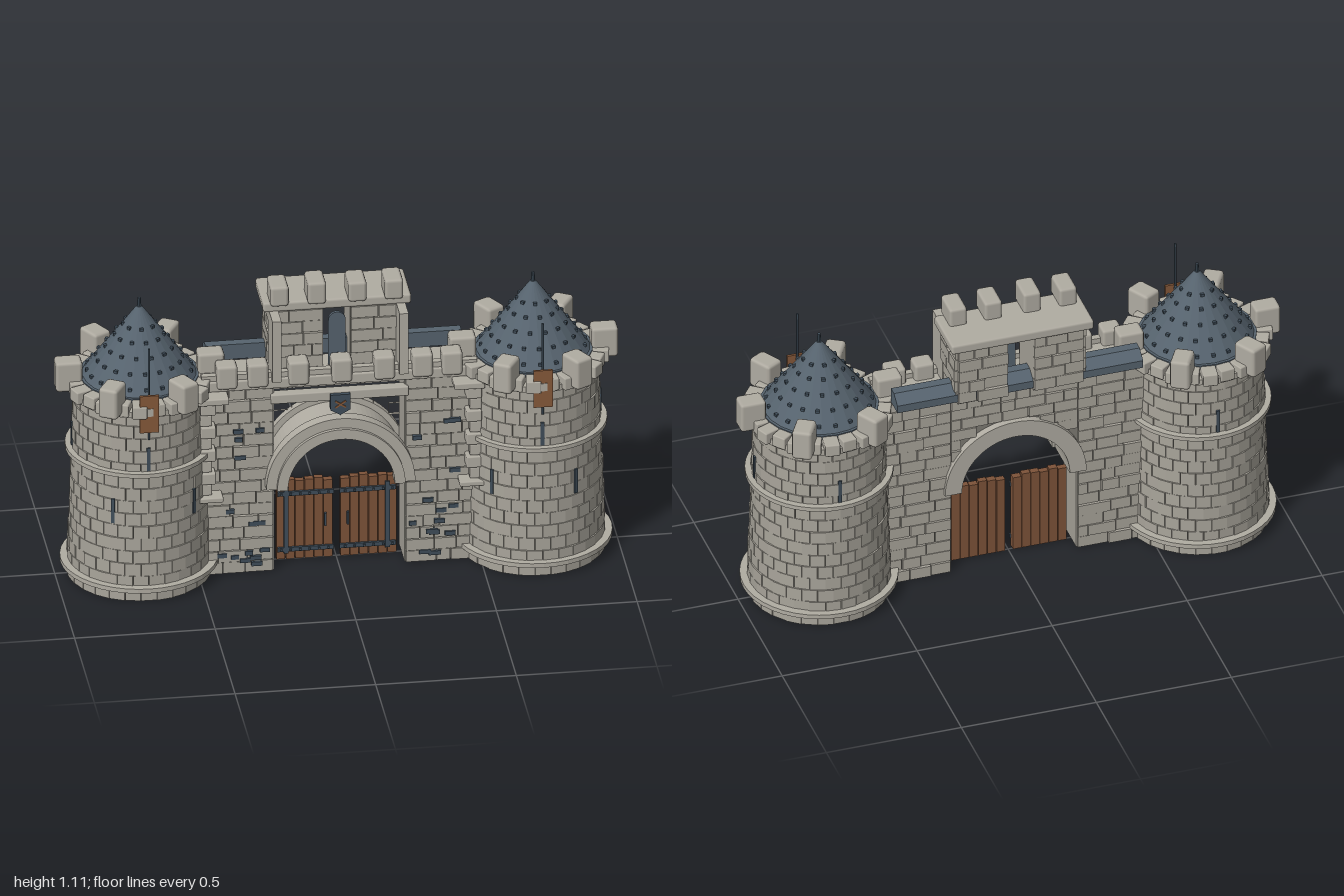
import * as THREE from 'three';
import { mergeGeometries } from 'three/addons/utils/BufferGeometryUtils.js';
import { RoundedBoxGeometry } from 'three/addons/geometries/RoundedBoxGeometry.js';

const mat = (name, color) => Object.assign(new THREE.MeshStandardMaterial({ color }), { name });
const M = {
  stone: mat('stone', 0xa9a59b),
  trim: mat('trim stone', 0xb0aca2),
  mortar: mat('mortar', 0x7f7c75),
  slate: mat('slate', 0x56636e),
  iron: mat('iron', 0x3f4d59),
  wood: mat('wood', 0x7d5339),
  banner: mat('banner', 0x86593a),
};

// Small seeded random source for the masonry
let seed = 7;
const rnd = (a = 0, b = 1) => {
  seed = (seed * 16807) % 2147483647;
  return a + (b - a) * (seed / 2147483647);
};

// Box from its limits, plain or with softened edges
const box = (x0, x1, y0, y1, z0, z1) =>
  new THREE.BoxGeometry(x1 - x0, y1 - y0, z1 - z0).translate((x0 + x1) / 2, (y0 + y1) / 2, (z0 + z1) / 2);
const soft = (x0, x1, y0, y1, z0, z1, r = 0.01) =>
  new RoundedBoxGeometry(x1 - x0, y1 - y0, z1 - z0, 1, r).translate((x0 + x1) / 2, (y0 + y1) / 2, (z0 + z1) / 2);
const flat = (g) => {
  const n = g.index ? g.toNonIndexed() : g;
  n.computeVertexNormals();
  return n;
};
const part = (parent, name, material, geos) => {
  const list = [].concat(geos).map((g) => (g.index ? g.toNonIndexed() : g));
  const mesh = new THREE.Mesh(list.length > 1 ? mergeGeometries(list) : list[0], material);
  mesh.name = name;
  parent.add(mesh);
  return mesh;
};

// Courses of blocks on a wall face; side is +1 for front, -1 for back
function bricks(x0, x1, y0, y1, z, side, keep = () => true, rows = Math.round((y1 - y0) / 0.045)) {
  const out = [], h = (y1 - y0) / rows;
  for (let i = 0; i < rows; i++) {
    let x = x0;
    while (x < x1 - 0.001) {
      let e = x + rnd(0.05, 0.12);
      if (x1 - e < 0.035) e = x1;
      const y = y0 + i * h, f = z + side * rnd(0.007, 0.016);
      if (keep(x, e, y, y + h))
        out.push(box(x + 0.0015, e - 0.0015, y + 0.0015, y + h - 0.0015, Math.min(z, f), Math.max(z, f)));
      x = e;
    }
  }
  return out;
}

function tower(s) {
  const g = new THREE.Group();
  g.name = s > 0 ? 'leftTower' : 'rightTower';
  g.position.x = 0.7 * s;
  const R = (y) => 0.254 - 0.032 * y;
  const ring = (r, y0, y1, n = 40) => flat(new THREE.CylinderGeometry(r, r, y1 - y0, n).translate(0, (y0 + y1) / 2, 0));
  const polar = (geo, a, y) => geo.translate(0, y, 0).rotateY(-a);
  part(g, 'towerCore', M.mortar, flat(new THREE.CylinderGeometry(R(0.74) - 0.007, R(0) - 0.006, 0.74, 40).translate(0, 0.37, 0)));

  // Staggered courses
  const blocks = [], rows = 15, n = 28, h = 0.73 / rows;
  for (let i = 0; i < rows; i++) {
    const y = (i + 0.5) * h, shift = (i % 2) * 0.5;
    for (let k = 0; k < n; k++) {
      const r = R(y) + rnd(-0.001, 0.003);
      const w = (2 * Math.PI * r) / n - rnd(0.0005, 0.003);
      blocks.push(polar(new THREE.BoxGeometry(0.03, h - 0.0012, w).translate(r - 0.015, 0, 0), ((k + shift) / n) * Math.PI * 2, y));
    }
  }
  part(g, 'towerStones', M.stone, blocks);
  part(g, 'towerBands', M.trim, [ring(0.28, 0.043, 0.06), ring(0.262, 0.49, 0.506), ring(0.25, 0.722, 0.745)]);

  // Rim blocks and six merlons
  const rim = [], merlons = [];
  for (let k = 0; k < 24; k++)
    rim.push(polar(soft(0.195, k % 2 ? 0.255 : 0.268, -0.024, 0.024, -0.027, 0.027, 0.005), ((k + 0.5) / 24) * Math.PI * 2, 0.75));
  for (let k = 0; k < 6; k++)
    merlons.push(polar(soft(0.205, 0.3, -0.058, 0.058, -0.036, 0.036, 0.012), (k / 6) * Math.PI * 2, 0.79));
  part(g, 'towerRim', M.trim, rim);
  part(g, 'towerMerlons', M.trim, merlons);

  // Roof with studs and finial
  const rr = (y) => 0.01 + (1.04 - y) * 0.73;
  part(g, 'roof', M.slate, [
    flat(new THREE.CylinderGeometry(0.01, rr(0.77), 0.27, 24).translate(0, 0.905, 0)),
    ring(rr(0.77) + 0.004, 0.762, 0.778, 24),
  ]);
  const studs = [flat(new THREE.CylinderGeometry(0.006, 0.009, 0.05, 8).translate(0, 1.047, 0))];
  [[0.8, 20], [0.845, 18], [0.89, 14], [0.935, 11], [0.975, 8]].forEach(([y, m], i) => {
    for (let k = 0; k < m; k++)
      studs.push(polar(new THREE.BoxGeometry(0.012, 0.01, 0.013).translate(rr(y), 0, 0), ((k + (i % 2) * 0.5) / m) * Math.PI * 2, y));
  });
  part(g, 'roofStuds', M.iron, studs);

  // Arrow slits
  const slit = (a, y, t) => polar(new THREE.BoxGeometry(0.008, t, 0.013).translate(R(y) + 0.002, 0, 0), a, y);
  const slits = [0, 1, 2, 3].map((k) => slit((k * Math.PI) / 2, 0.553, 0.09));
  [60, 134].forEach((d) => slits.push(slit(((s > 0 ? d : 180 - d) * Math.PI) / 180, 0.345, 0.095)));
  part(g, 'arrowSlits', M.iron, slits);

  // Hanging banner on its pole
  part(g, 'bannerPole', M.iron, new THREE.CylinderGeometry(0.004, 0.004, 0.36, 6).translate(0, 0.815, 0.247));
  part(g, 'bannerPanel', M.banner, box(-0.034, 0.034, 0.67, 0.815, 0.253, 0.262));
  part(g, 'bannerPatch', M.trim, box(-0.014, 0.014, 0.735, 0.765, 0.262, 0.265));
  return g;
}

function pier(s) {
  const g = new THREE.Group();
  g.name = s > 0 ? 'leftPier' : 'rightPier';
  const a = s > 0 ? 0.235 : -0.49, b = s > 0 ? 0.49 : -0.235;
  part(g, 'pierCore', M.mortar, box(a + 0.002, b - 0.002, 0, 0.73, -0.062, 0.078));
  part(g, 'pierFaces', M.stone, [
    ...bricks(a, b, 0, 0.73, 0.078, 1), ...bricks(a, b, 0, 0.73, -0.062, -1),
    box(s > 0 ? 0.232 : -0.237, s > 0 ? 0.237 : -0.232, 0, 0.73, -0.062, 0.078),
  ]);
  // Scattered slate stones
  const chips = [];
  for (let i = 0; i < 14; i++) {
    const x = s * rnd(0.26, 0.42), y = i < 10 ? rnd(0.03, 0.27) : rnd(0.3, 0.66), w = rnd(0.012, 0.022);
    chips.push(box(x - w, x + w, y - 0.008, y + 0.008, 0.08, 0.096));
  }
  part(g, 'slateStones', M.iron, chips);
  // Buttress against the tower
  const col = (x0, x1, y0, y1, z) => (s > 0 ? soft(x0, x1, y0, y1, 0.06, z, 0.005) : soft(-x1, -x0, y0, y1, 0.06, z, 0.005));
  const stones = [col(0.4, 0.51, 0.7, 0.725, 0.15), col(0.42, 0.51, 0.315, 0.335, 0.15)];
  for (let i = 0; i < 8; i++) stones.push(col(i % 2 ? 0.445 : 0.458, 0.5, 0.335 + i * 0.0456, 0.379 + i * 0.0456, i % 2 ? 0.135 : 0.128));
  part(g, 'buttress', M.trim, stones);
  return g;
}

// Half ring standing on the springing line
function archRing(r0, r1, z0, z1) {
  const sh = new THREE.Shape();
  sh.absarc(0, 0, r1, 0, Math.PI, false);
  sh.absarc(0, 0, r0, Math.PI, 0, true);
  return new THREE.ExtrudeGeometry(sh, { depth: z1 - z0, bevelEnabled: false, curveSegments: 20 }).translate(0, 0.34, z0);
}

function gateway() {
  const g = new THREE.Group();
  g.name = 'gateway';
  part(g, 'archRings', M.trim, [
    archRing(0.225, 0.265, 0.08, 0.125), archRing(0.19, 0.228, 0.08, 0.138),
    archRing(0.2, 0.24, -0.07, 0.09), archRing(0.2, 0.262, -0.09, -0.06),
  ]);
  // Rear wall above the arch, facing backwards only
  const sh = new THREE.Shape();
  sh.moveTo(-0.235, 0.34).lineTo(-0.235, 0.73).lineTo(0.235, 0.73).lineTo(0.235, 0.34).lineTo(0.23, 0.34);
  sh.absarc(0, 0.34, 0.23, 0, Math.PI, false);
  part(g, 'rearWall', M.mortar, new THREE.ShapeGeometry(sh, 20).rotateY(Math.PI).translate(0, 0, -0.062));
  const clear = (x0, x1, y0) => {
    const x = x0 < 0 && x1 > 0 ? 0 : Math.min(Math.abs(x0), Math.abs(x1));
    return Math.hypot(x, y0 - 0.34) > 0.225;
  };
  const rear = bricks(-0.235, 0.235, 0.34, 0.73, -0.062, -1, clear);
  rear.forEach((b) => b.setIndex([...b.index.array].filter((_, i) => i < 24 || i > 29)));
  part(g, 'rearStones', M.stone, rear);
  part(g, 'lintel', M.trim, soft(-0.245, 0.245, 0.665, 0.702, 0.06, 0.1, 0.005));

  // Shield with crossed bars
  const sd = new THREE.Shape();
  sd.moveTo(-0.035, 0.695).lineTo(-0.035, 0.635).lineTo(0, 0.615).lineTo(0.035, 0.635).lineTo(0.035, 0.695);
  part(g, 'shield', M.iron, new THREE.ExtrudeGeometry(sd, { depth: 0.025, bevelEnabled: false }).translate(0, 0, 0.09));
  part(g, 'shieldBars', M.banner, [1, -1].map((s) => new THREE.BoxGeometry(0.045, 0.006, 0.004).rotateZ(s * 0.6).translate(0, 0.658, 0.117)));

  // Two plank doors with iron straps
  for (const s of [1, -1]) {
    const planks = [], iron = [];
    for (let k = 0; k < 6; k++) {
      const x = s * (0.03 + k * 0.0335);
      planks.push(box(x - 0.0155, x + 0.0155, 0.004, 0.312 + rnd(-0.006, 0.008), -0.012, 0.01 + rnd(0, 0.004)));
      for (const y of [0.045, 0.265]) iron.push(box(x - 0.004, x + 0.004, y - 0.004, y + 0.004, 0.014, 0.026));
    }
    const c = s * 0.11;
    for (const y of [0.045, 0.265]) iron.push(box(c - 0.1, c + 0.1, y - 0.008, y + 0.008, 0.012, 0.021));
    iron.push(box(s * 0.18 - 0.008, s * 0.18 + 0.008, 0.03, 0.29, 0.013, 0.022));
    iron.push(box(s * 0.04 - 0.004, s * 0.04 + 0.004, 0.13, 0.18, 0.013, 0.022));
    part(g, s > 0 ? 'leftDoor' : 'rightDoor', M.wood, planks);
    part(g, 'doorIron', M.iron, iron);
  }
  return g;
}

function gatehouse() {
  const g = new THREE.Group();
  g.name = 'gatehouse';
  // Wall walk and parapet
  part(g, 'wallWalk', M.trim, [soft(-0.49, 0.49, 0.725, 0.765, -0.075, 0.095, 0.006), box(-0.49, 0.49, 0.755, 0.785, 0.06, 0.085)]);
  part(g, 'parapetMerlons', M.trim, [-0.4, -0.29, -0.145, 0.008, 0.16, 0.295, 0.4].map((x) => soft(x - 0.037, x + 0.037, 0.735, 0.828, 0.035, 0.105, 0.012)));
  // Sloping slate strip along the back
  const strip = new THREE.Shape();
  strip.moveTo(0.14, 0.77).lineTo(0.065, 0.77).lineTo(0.065, 0.828).lineTo(0.1, 0.828).lineTo(0.14, 0.8);
  part(g, 'rearRoofStrip', M.slate, new THREE.ExtrudeGeometry(strip, { depth: 0.91, bevelEnabled: false }).rotateY(Math.PI / 2).translate(-0.455, 0, 0));
  // Upper room, open through the middle
  for (const s of [1, -1]) {
    const a = s > 0 ? 0.048 : -0.232, b = s > 0 ? 0.232 : -0.048;
    part(g, 'roomCore', M.stone, box(a, b, 0.76, 1, -0.14, 0.015));
    part(g, 'roomStones', M.stone, [...bricks(a, b, 0.765, 0.995, 0.015, 1), ...bricks(a, b, 0.765, 0.995, -0.14, -1)]);
    part(g, 'roomSideStones', M.stone, bricks(-0.14, 0.015, 0.765, 0.995, 0, 1).map((q) => q.rotateY((s * Math.PI) / 2).translate(s * 0.23, 0, s > 0 ? -0.125 : 0)));
    part(g, 'sideWing', M.trim, s > 0 ? box(0.21, 0.242, 0.76, 1, 0, 0.115) : box(-0.242, -0.21, 0.76, 1, 0, 0.115));
  }
  // Arched shutter
  const w = new THREE.Shape();
  w.moveTo(-0.031, 0.77).lineTo(0.031, 0.77).lineTo(0.031, 0.945);
  w.absarc(0, 0.945, 0.031, 0, Math.PI, false);
  part(g, 'windowShutter', M.slate, new THREE.ExtrudeGeometry(w, { depth: 0.012, bevelEnabled: false }).translate(0, 0, 0.012));
  // Roof slab and merlons
  part(g, 'roofSlab', M.trim, soft(-0.264, 0.264, 0.995, 1.034, -0.172, 0.034, 0.01));
  part(g, 'roofMerlons', M.trim, [-0.207, -0.074, 0.07, 0.2].map((x, i) => {
    const up = i === 1 ? 1.112 : 1.104;
    return soft(x - 0.033, x + 0.033, 1.025, up, -0.054, 0.055, 0.012);
  }));
  return g;
}

export function createModel() {
  const model = new THREE.Group();
  model.name = 'castleGate';
  for (const s of [1, -1]) model.add(tower(s), pier(s));
  model.add(gateway(), gatehouse());
  return model;
}
